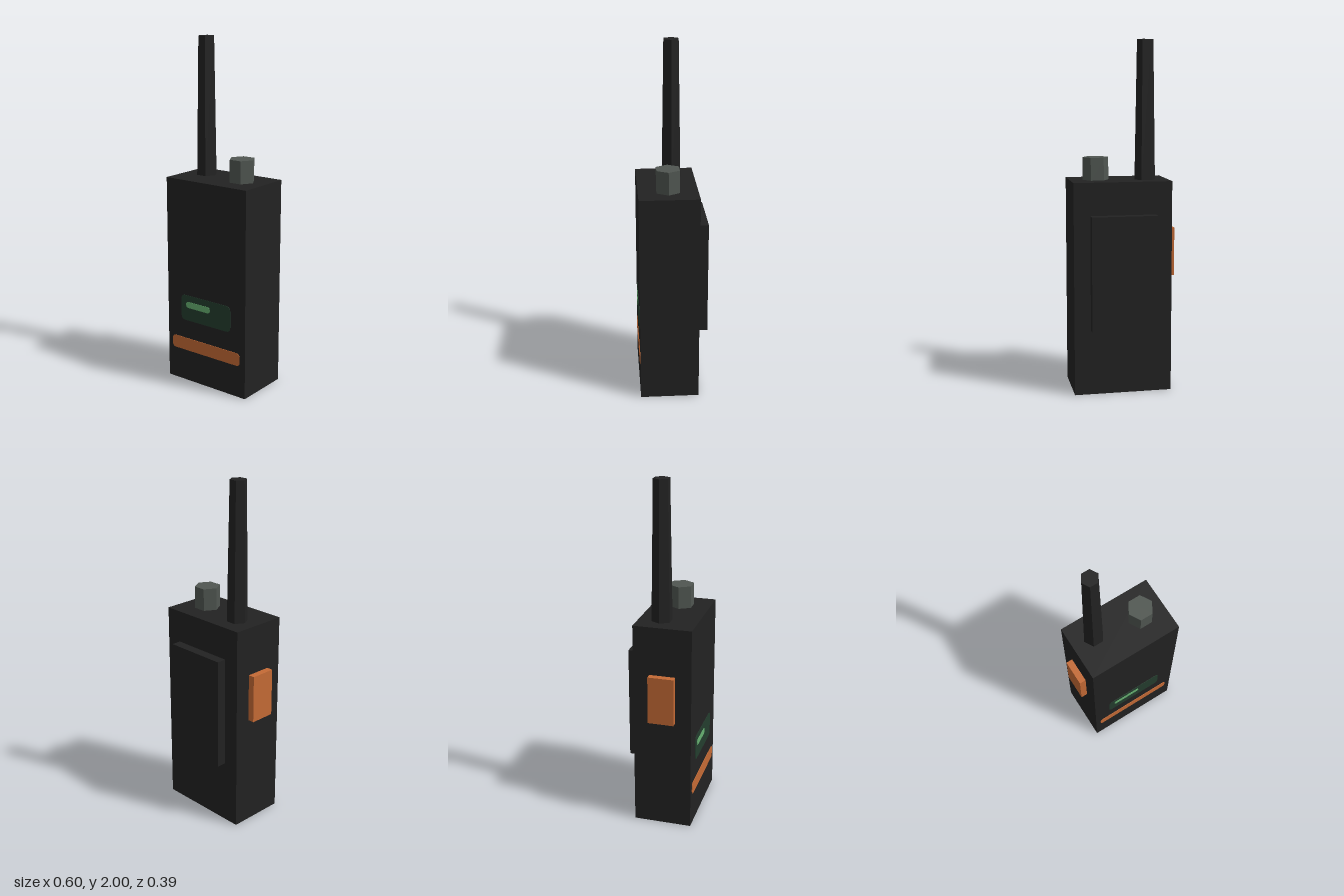
import * as THREE from 'three';

const material = (name, color) => {
  const m = new THREE.MeshStandardMaterial({ color });
  m.name = name;
  return m;
};

export function createModel() {
  const black = material('black casing', 0x222222);
  const grey = material('knob grey', 0x505651);
  const orange = material('orange', 0xc46a35);
  const darkGreen = material('screen green', 0x243d2e);
  const lightGreen = material('readout green', 0x66b070);

  const model = new THREE.Group();
  model.name = 'handheldRadio';

  const add = (name, geometry, mat) => {
    const mesh = new THREE.Mesh(geometry, mat);
    mesh.name = name;
    model.add(mesh);
    return mesh;
  };

  // Box given by its extents on each axis
  const box = (name, mat, [x0, x1], [y0, y1], [z0, z1]) =>
    add(name, new THREE.BoxGeometry(x1 - x0, y1 - y0, z1 - z0), mat)
      .position.set((x0 + x1) / 2, (y0 + y1) / 2, (z0 + z1) / 2);

  // Six-sided post with its corners pointing along x
  const hexPost = (name, mat, rTop, rBottom, x, z, y0, y1) => {
    const g = new THREE.CylinderGeometry(rTop, rBottom, y1 - y0, 6, 1, false, Math.PI / 6).toNonIndexed();
    g.computeVertexNormals();
    add(name, g, mat).position.set(x, (y0 + y1) / 2, z);
  };

  // Thin rounded plate on the front face
  const frontZ = 0.194;
  const plate = (name, mat, [x0, x1], [y0, y1], r, depth) => {
    const s = new THREE.Shape();
    s.moveTo(x0 + r, y0);
    s.lineTo(x1 - r, y0);
    s.quadraticCurveTo(x1, y0, x1, y0 + r);
    s.lineTo(x1, y1 - r);
    s.quadraticCurveTo(x1, y1, x1 - r, y1);
    s.lineTo(x0 + r, y1);
    s.quadraticCurveTo(x0, y1, x0, y1 - r);
    s.lineTo(x0, y0 + r);
    s.quadraticCurveTo(x0, y0, x0 + r, y0);
    const g = new THREE.ExtrudeGeometry(s, { depth, bevelEnabled: false, curveSegments: 4 });
    add(name, g, mat).position.z = frontZ;
  };

  // Casing, back clip and side talk button
  box('body', black, [-0.261, 0.298], [0, 1.213], [-0.141, frontZ]);
  box('backClip', black, [-0.168, 0.205], [0.375, 1.027], [-0.197, -0.141]);
  box('talkButton', orange, [-0.299, -0.261], [0.655, 0.933], [-0.047, 0.102]);

  // Controls on top
  hexPost('antenna', black, 0.047, 0.06, -0.131, -0.01, 1.21, 2);
  hexPost('volumeKnob', grey, 0.074, 0.074, 0.148, 0.027, 1.21, 1.342);

  // Painted front details
  plate('screen', darkGreen, [-0.161, 0.195], [0.378, 0.532], 0.03, 0.002);
  plate('readout', lightGreen, [-0.124, 0.05], [0.457, 0.494], 0.018, 0.004);
  plate('stripe', orange, [-0.23, 0.262], [0.19, 0.266], 0.025, 0.003);

  return model;
}
